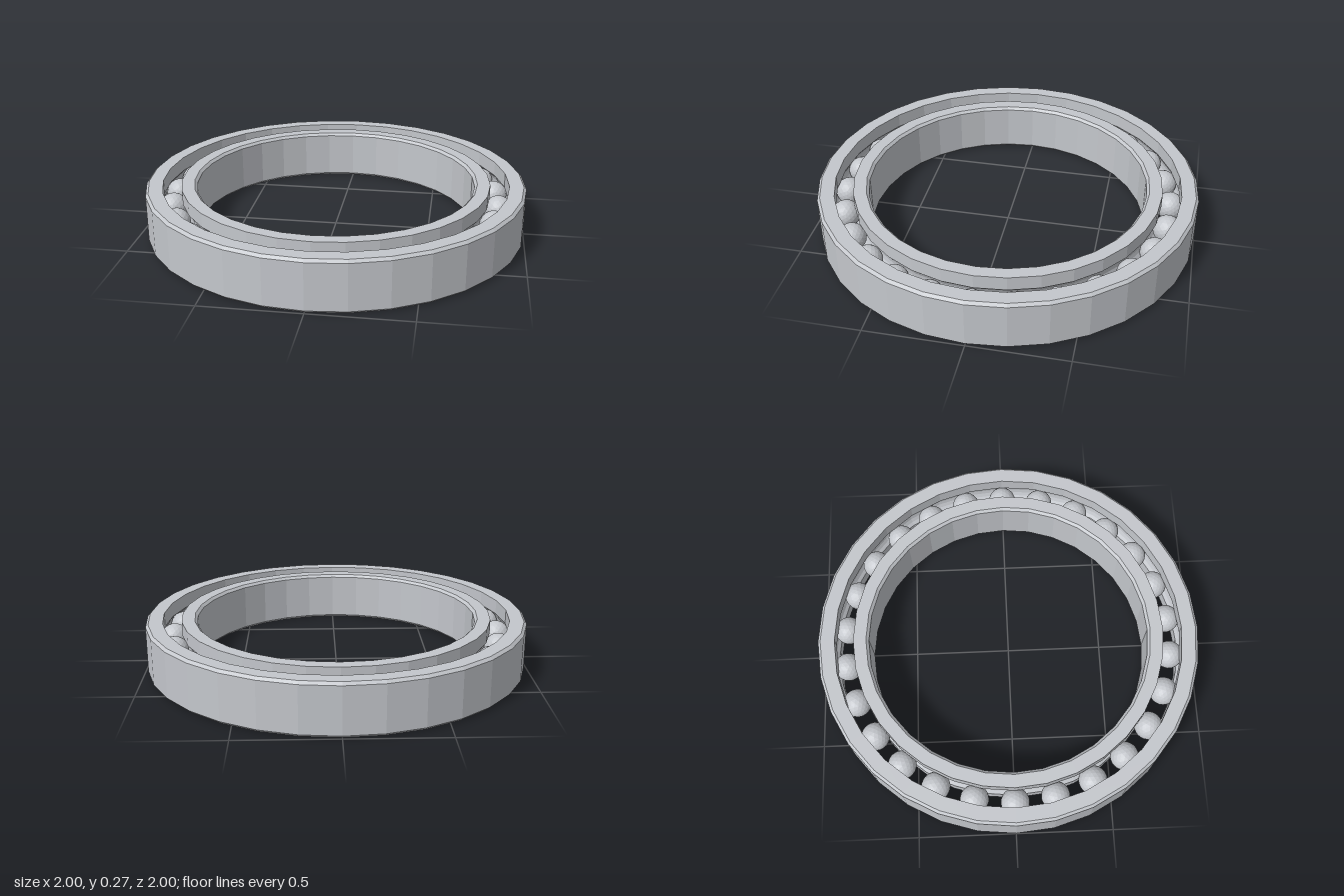
import * as THREE from 'three';

const HEIGHT = 0.267, MID = HEIGHT / 2, CHAMFER = 0.014;
const PITCH = 0.862, BALL = 0.074, GROOVE = 0.077, COUNT = 26, SIDES = 32;

// Flat facets: every face gets its own normal
function faceted(geometry) {
  const g = geometry.index ? geometry.toNonIndexed() : geometry;
  g.computeVertexNormals();
  return g;
}

// Ring section: chamfered on the rim side, round groove on the race side
function ringGeometry(rim, race) {
  const s = Math.sign(rim - race);
  const pts = [
    [race, 0], [rim - s * CHAMFER, 0], [rim, CHAMFER],
    [rim, HEIGHT - CHAMFER], [rim - s * CHAMFER, HEIGHT], [race, HEIGHT],
  ];
  const half = Math.acos(Math.abs(race - PITCH) / GROOVE);
  for (let i = 0; i <= 6; i++) {
    const a = half * (1 - i / 3);
    pts.push([PITCH + s * GROOVE * Math.cos(a), MID + GROOVE * Math.sin(a)]);
  }
  pts.push([race, 0]);
  if (s < 0) pts.reverse(); // keep faces pointing outwards
  return faceted(new THREE.LatheGeometry(pts.map(([x, y]) => new THREE.Vector2(x, y)), SIDES));
}

export function createModel() {
  const model = new THREE.Group();
  model.name = 'ballBearing';
  const steel = new THREE.MeshStandardMaterial({ color: 0xc4c7cc });
  steel.name = 'steel';

  // Outer and inner races
  const outer = new THREE.Mesh(ringGeometry(1, 0.912), steel);
  outer.name = 'outerRing';
  const inner = new THREE.Mesh(ringGeometry(0.733, 0.814), steel);
  inner.name = 'innerRing';
  model.add(outer, inner);

  // Balls evenly spaced around the gap
  const balls = new THREE.Group();
  balls.name = 'balls';
  const ballGeometry = faceted(new THREE.IcosahedronGeometry(BALL, 3));
  for (let i = 0; i < COUNT; i++) {
    const a = (i / COUNT) * Math.PI * 2;
    const ball = new THREE.Mesh(ballGeometry, steel);
    ball.name = 'ball';
    ball.position.set(PITCH * Math.cos(a), MID, PITCH * Math.sin(a));
    ball.rotation.y = -a;
    balls.add(ball);
  }
  model.add(balls);
  return model;
}
